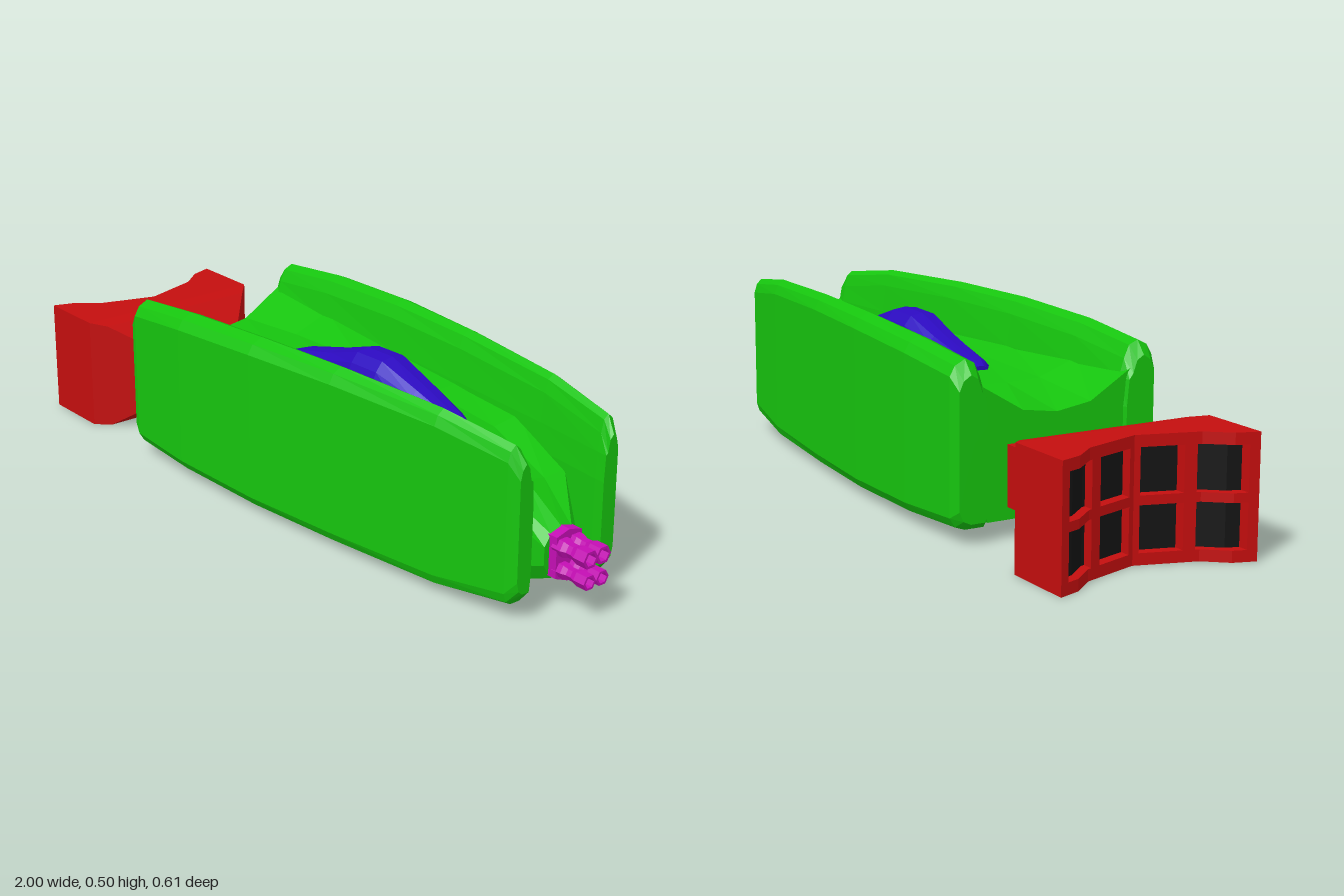
import * as THREE from 'three';

const mat = (color) => new THREE.MeshStandardMaterial({ color, flatShading: true });
const GREEN = mat(0x16c40e), BLUE = mat(0x2c0ac0), RED = mat(0xc40e0e), MAGENTA = mat(0xc40eb4), DARK = mat(0x141414);

function add(parent, name, geometry, material) {
  const mesh = new THREE.Mesh(geometry, material);
  mesh.name = name;
  parent.add(mesh);
  return mesh;
}

// Closed faceted skin through rings [x, [[z, y], ...]] ordered by rising x
function loft(rings) {
  const pos = [];
  const loops = rings.map(([x, pts]) => {
    let area = 0;
    pts.forEach(([z, y], i) => {
      const [z2, y2] = pts[(i + 1) % pts.length];
      area += z * y2 - z2 * y;
    });
    const ordered = area > 0 ? [...pts].reverse() : pts;
    return ordered.map(([z, y]) => [x, y, z]);
  });
  const n = loops[0].length;
  const tri = (a, b, c) => pos.push(...a, ...b, ...c);
  for (let i = 0; i + 1 < loops.length; i++) {
    for (let j = 0; j < n; j++) {
      const k = (j + 1) % n;
      const [a, b, c, d] = [loops[i][j], loops[i][k], loops[i + 1][k], loops[i + 1][j]];
      tri(a, b, c);
      tri(a, c, d);
    }
  }
  const cap = (loop, flip) => {
    const mid = [0, 1, 2].map((q) => loop.reduce((s, p) => s + p[q], 0) / n);
    for (let j = 0; j < n; j++) {
      const a = loop[j], b = loop[(j + 1) % n];
      flip ? tri(mid, b, a) : tri(mid, a, b);
    }
  };
  cap(loops[0], true);
  cap(loops[loops.length - 1], false);
  const g = new THREE.BufferGeometry();
  g.setAttribute('position', new THREE.Float32BufferAttribute(pos, 3));
  g.computeVertexNormals();
  return g;
}

// Half outline, centre top to centre bottom, completed by its mirror image
const mirrored = (half) => [...half, ...half.slice(1, -1).reverse().map(([z, y]) => [-z, y])];

// Plan outline [x, z] raised from y0 to y1
function slab(plan, y0, y1) {
  const shape = new THREE.Shape(plan.map(([x, z]) => new THREE.Vector2(x, -z)));
  return new THREE.ExtrudeGeometry(shape, { depth: y1 - y0, bevelEnabled: false })
    .rotateX(-Math.PI / 2).translate(0, y0, 0);
}

// Notched rear edge of the thruster block
const REAR = [[-0.28, -1], [-0.22, -0.98], [-0.16, -0.93], [0, -0.88], [0.16, -0.93], [0.22, -0.98], [0.28, -1]];
function rearX(z) {
  const i = Math.max(1, REAR.findIndex((p) => p[0] >= z - 1e-6));
  const [z0, x0] = REAR[i - 1], [z1, x1] = REAR[i];
  return x0 + ((x1 - x0) * (z - z0)) / (z1 - z0);
}
function rearEdge(z0, z1, offset) {
  const zs = [z0, ...REAR.map((p) => p[0]).filter((z) => z > z0 + 1e-4 && z < z1 - 1e-4), z1];
  return zs.map((z) => [rearX(z) + offset, z]);
}
const rearStrip = (z0, z1, near, far, y0, y1) =>
  slab([...rearEdge(z0, z1, near), ...rearEdge(z0, z1, far).reverse()], y0, y1);

export function createModel() {
  const model = new THREE.Group();
  model.name = 'spacecraft';

  // Side pods: x, bottom, top, inner z, outer z
  const podStations = [
    [-0.55, 0.055, 0.43, 0.205, 0.287], [-0.52, 0.035, 0.465, 0.19, 0.298],
    [-0.3, 0.024, 0.487, 0.185, 0.303], [0, 0.017, 0.5, 0.175, 0.288],
    [0.3, 0.016, 0.502, 0.16, 0.256], [0.65, 0.02, 0.492, 0.138, 0.213],
    [0.87, 0.045, 0.462, 0.118, 0.177], [0.9, 0.08, 0.42, 0.118, 0.162],
  ];
  for (const side of [1, -1]) {
    const rings = podStations.map(([x, b, t, zi, zo]) => {
      const w = zo - zi;
      const pts = [
        [zo, b + 0.035], [zo, t - 0.04], [zo - 0.14 * w, t - 0.014], [zo - 0.4 * w, t],
        [zi + 0.36 * w, t - 0.012], [zi + 0.22 * w, t - 0.045], [zi + 0.08 * w, 0.37], [zi, 0.3],
        [zi, b + 0.04], [zi + 0.1 * w, b], [zo - 0.4 * w, b], [zo - 0.14 * w, b + 0.01],
      ];
      return [x, pts.map(([z, y]) => [side * z, y])];
    });
    add(model, side > 0 ? 'frontSidePod' : 'backSidePod', loft(rings), GREEN);
  }

  // Central hull: x, centre top, shoulder z/y, side z, side top, side bottom, keel z/y
  const hullStations = [
    [-0.54, 0.31, 0.1, 0.325, 0.225, 0.4, 0.1, 0.2, 0.05],
    [-0.3, 0.34, 0.1, 0.343, 0.215, 0.385, 0.06, 0.22, 0.02],
    [0, 0.36, 0.09, 0.357, 0.2, 0.37, 0.06, 0.21, 0.012],
    [0.3, 0.36, 0.09, 0.356, 0.19, 0.362, 0.05, 0.19, 0.012],
    [0.55, 0.355, 0.08, 0.342, 0.165, 0.355, 0.06, 0.15, 0.02],
    [0.75, 0.29, 0.065, 0.275, 0.135, 0.28, 0.1, 0.1, 0.045],
    [0.88, 0.21, 0.035, 0.2, 0.055, 0.17, 0.12, 0.03, 0.08],
  ];
  add(model, 'centralHull', loft(hullStations.map(([x, t, sz, sy, w, wt, wb, kz, ky]) =>
    [x, mirrored([[0, t], [sz, sy], [w, wt], [w, wb], [kz, ky], [0, ky]])])), GREEN);

  // Canopy: x, half width, top
  const canopyStations = [
    [-0.17, 0.03, 0.36], [-0.13, 0.058, 0.375], [0.02, 0.074, 0.415], [0.14, 0.086, 0.455],
    [0.24, 0.086, 0.458], [0.37, 0.07, 0.415], [0.48, 0.05, 0.375], [0.53, 0.022, 0.358],
  ];
  const canopy = add(model, 'canopy', loft(canopyStations.map(([x, w, t]) => {
    const base = 0.335, h = t - base;
    return [x, mirrored([[0, t], [0.42 * w, t - 0.04 * h], [0.66 * w, t - 0.25 * h], [w, base + 0.2 * h], [w, base], [0, base]])];
  })), BLUE);
  canopy.position.z = -0.003;

  // Nose guns: mounting plate with four hollow hexagonal barrels
  const guns = new THREE.Group();
  guns.name = 'noseGuns';
  guns.position.z = -0.003;
  model.add(guns);
  const plate = mirrored([[0, 0.212], [0.042, 0.2], [0.042, 0.09], [0, 0.073]]);
  add(guns, 'gunPlate', loft([[0.84, plate], [0.905, plate]]), MAGENTA);
  for (const [y, r] of [[0.172, 0.025], [0.111, 0.021]]) {
    for (const z of [-0.0215, 0.0215]) {
      const profile = [[r, 0], [r, 0.03], [r * 0.78, 0.045], [r * 0.78, 0.06], [r, 0.075], [r, 0.11], [r * 0.7, 0.11], [r * 0.7, 0.03]]
        .map(([a, b]) => new THREE.Vector2(a, b));
      const barrel = add(guns, 'gunBarrel', new THREE.LatheGeometry(profile, 6).rotateZ(-Math.PI / 2), MAGENTA);
      barrel.position.set(0.89, y, z);
      const bore = add(guns, 'gunBore', new THREE.CylinderGeometry(r * 0.72, r * 0.72, 0.01, 6).rotateZ(-Math.PI / 2), DARK);
      bore.position.set(0.925, y, z);
    }
  }

  // Thruster: neck and flare, then a block with a notched rear
  const thruster = new THREE.Group();
  thruster.name = 'thruster';
  thruster.position.z = -0.004;
  model.add(thruster);
  const flare = [[-0.8, 0.28, 0, 0.32], [-0.76, 0.243, 0.002, 0.312], [-0.65, 0.14, 0.083, 0.243], [-0.5, 0.14, 0.083, 0.243]];
  add(thruster, 'thrusterNeck', loft(flare.map(([x, w, b, t]) =>
    [x, [[w, t], [-w, t], [-w, b], [w, b]]])), RED);
  add(thruster, 'thrusterBlock', slab([...rearEdge(-0.28, 0.28, 0.035), [-0.8, 0.28], [-0.8, -0.28]], 0, 0.32), RED);

  // Rear grille: rails and posts in front of dark recessed outlets
  for (const [y0, y1] of [[0, 0.03], [0.148, 0.172], [0.29, 0.32]]) {
    add(thruster, 'grilleRail', rearStrip(-0.28, 0.28, 0, 0.036, y0, y1), RED);
  }
  for (const [z0, z1] of [[-0.28, -0.255], [-0.15, -0.12], [-0.015, 0.015], [0.12, 0.15], [0.255, 0.28]]) {
    add(thruster, 'grillePost', rearStrip(z0, z1, 0, 0.036, 0.01, 0.31), RED);
  }
  for (const [z0, z1] of [[-0.255, -0.15], [-0.12, -0.015], [0.015, 0.12], [0.15, 0.255]]) {
    for (const y of [0.03, 0.172]) {
      add(thruster, 'exhaustOutlet', rearStrip(z0, z1, 0.03, 0.037, y, y + 0.118), DARK);
    }
  }
  return model;
}
